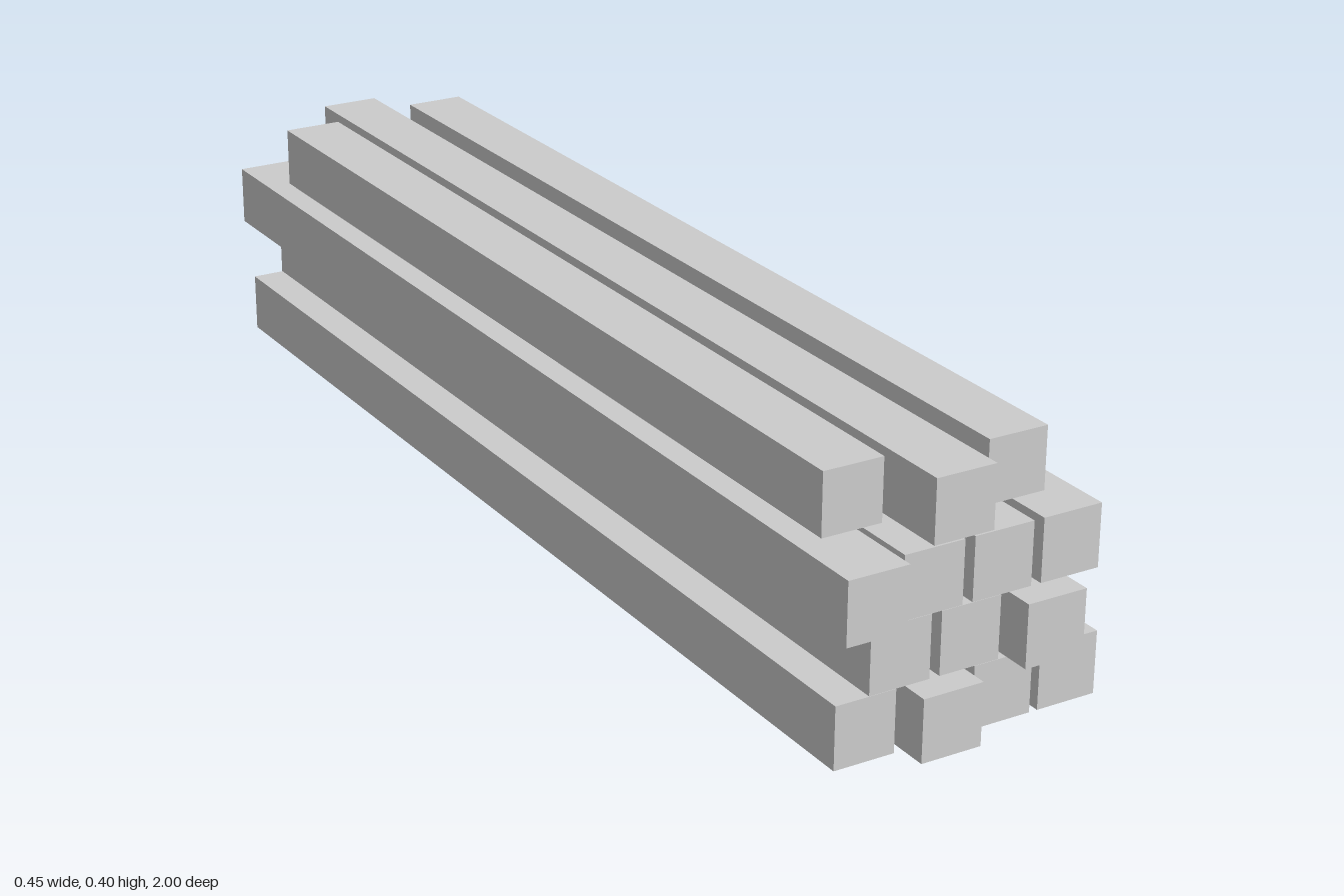
import * as THREE from 'three';

const SIDE = 0.1; // square section of every beam

// Layers from the ground up: base height and [x centre, half length] per beam
const LAYERS = [
  { y: 0, beams: [[-0.172, 0.956], [-0.057, 1], [0.06, 0.956], [0.174, 0.956]] },
  { y: 0.1005, beams: [[-0.117, 0.956], [0, 0.956], [0.114, 1]] },
  { y: 0.201, beams: [[-0.176, 0.983], [-0.066, 0.956], [0.051, 0.956], [0.168, 0.956]] },
  { y: 0.303, beams: [[-0.137, 0.86], [-0.018, 0.956], [0.121, 0.886]] },
];

export function createModel() {
  const model = new THREE.Group();
  model.name = 'beamStack';
  const material = new THREE.MeshStandardMaterial({ color: 0xcccccc, flatShading: true });

  LAYERS.forEach(({ y, beams }, i) => {
    const layer = new THREE.Group();
    layer.name = `layer${i + 1}`;
    layer.position.y = y + SIDE / 2;
    beams.forEach(([x, halfLength], j) => {
      const beam = new THREE.Mesh(new THREE.BoxGeometry(SIDE, SIDE, halfLength * 2), material);
      beam.name = `beam${i + 1}_${j + 1}`;
      beam.position.x = x;
      layer.add(beam);
    });
    model.add(layer);
  });
  return model;
}
